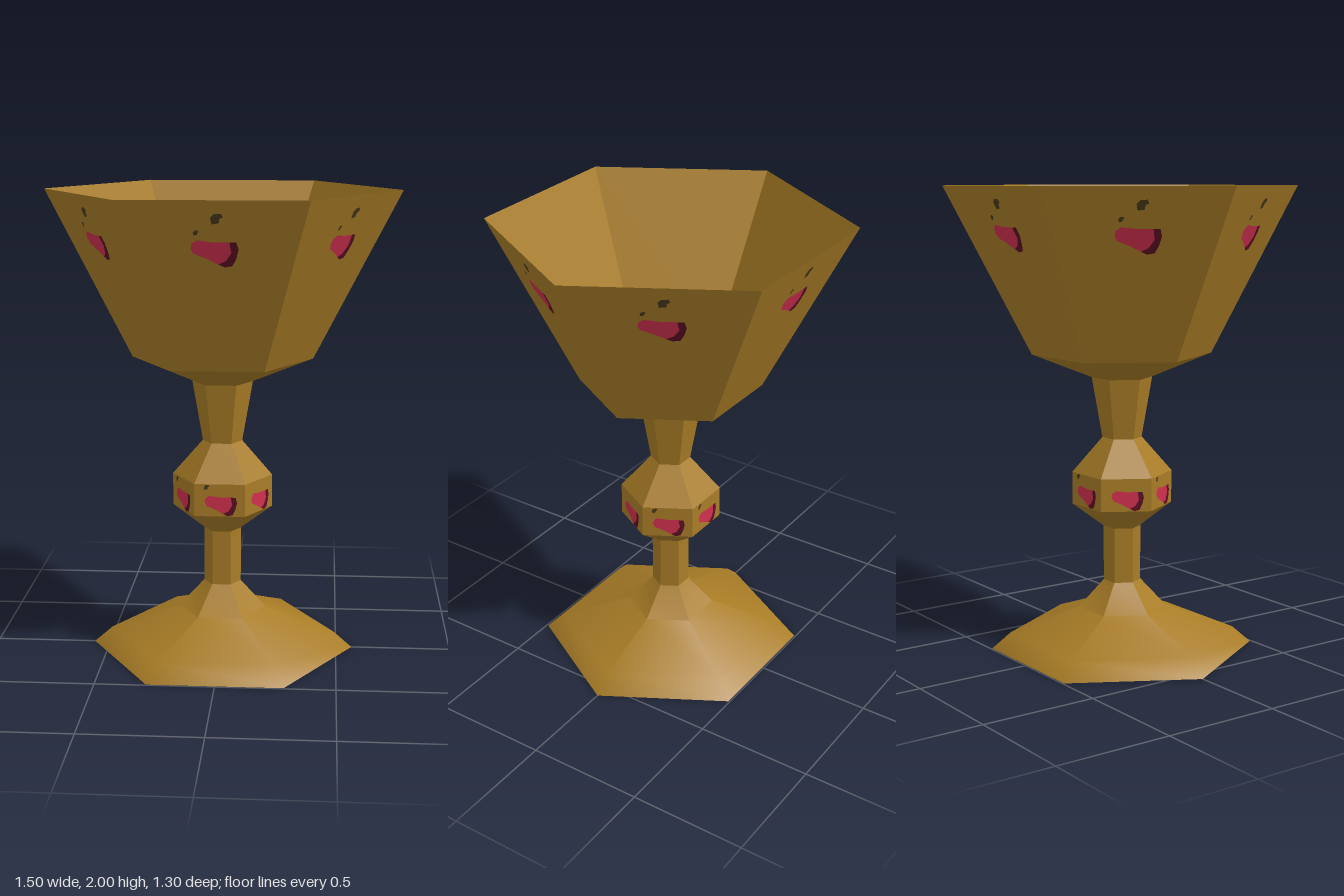
import * as THREE from 'three';
import { toCreasedNormals } from 'three/addons/utils/BufferGeometryUtils.js';

export function createModel() {
  const material = (name, color) => {
    const m = new THREE.MeshStandardMaterial({ color });
    m.name = name;
    return m;
  };
  const gold = material('gold', 0xa87c26);
  const ruby = material('ruby', 0xd0304e);
  const darkRuby = material('darkRuby', 0x5c0f24);
  const tarnish = material('tarnish', 0x4a3a1c);

  const model = new THREE.Group();
  model.name = 'goblet';

  const add = (parent, name, geometry, mat) => {
    const mesh = new THREE.Mesh(geometry, mat);
    mesh.name = name;
    parent.add(mesh);
    return mesh;
  };

  // Six-sided turned part from [corner radius, height] points, with corners on the x axis
  const hexPart = (name, points, creaseDegrees) => {
    const profile = points.map(([r, y]) => new THREE.Vector2(r, y));
    const lathe = new THREE.LatheGeometry(profile, 6, Math.PI / 6);
    add(model, name, toCreasedNormals(lathe, THREE.MathUtils.degToRad(creaseDegrees)), gold);
  };

  hexPart('footUnderside', [[0, 0], [0.57, 0]], 30);
  hexPart('foot', [[0.57, 0], [0.49, 0.07], [0.19, 0.18], [0.08, 0.3]], 42);
  hexPart('lowerStem', [[0.08, 0.3], [0.08, 0.54]], 30);
  hexPart('knobUnderside', [[0.08, 0.54], [0.215, 0.64]], 42);
  hexPart('knob', [[0.215, 0.64], [0.215, 0.78], [0.085, 0.93]], 30);
  hexPart('upperStem', [[0.085, 0.93], [0.13, 1.19]], 30);
  hexPart('bowlUnderside', [[0.13, 1.19], [0.385, 1.29]], 42);
  hexPart('bowlOutside', [[0.385, 1.29], [0.75, 2]], 30);
  hexPart('bowlInside', [[0.75, 2], [0.335, 1.3], [0, 1.3]], 30);

  // Flat outlines of the gem and its shaded end
  const plate = (points) =>
    new THREE.ShapeGeometry(new THREE.Shape(points.map(([x, y]) => new THREE.Vector2(x, y))));
  const gemFace = plate([
    [-0.085, 0.015], [-0.075, -0.008], [-0.025, -0.03], [0.02, -0.055], [0.05, -0.04],
    [0.072, -0.005], [0.065, 0.042], [0, 0.042], [-0.06, 0.05], [-0.08, 0.035],
  ]);
  const gemEnd = plate([
    [0.02, -0.055], [0.045, -0.068], [0.075, -0.062], [0.09, -0.03], [0.1, 0.01],
    [0.092, 0.042], [0.065, 0.042], [0.072, -0.005], [0.05, -0.04],
  ]);
  // Small uneven spot
  const spot = plate([
    [-0.4, -0.5], [0.2, -0.4], [0.25, 0], [0.55, 0.15], [0.4, 0.5], [-0.2, 0.45], [-0.5, 0.1],
  ]);

  const gem = (parent) => {
    add(parent, 'gemFace', gemFace, ruby);
    add(parent, 'gemEnd', gemEnd, darkRuby);
  };
  const mark = (parent, x, y, size) => {
    const m = add(parent, 'tarnishSpot', spot, tarnish);
    m.position.set(x, y, 0);
    m.scale.setScalar(size);
  };

  // The same ornaments on each of the six sides
  const slope = Math.atan2(0.317, 0.71);
  for (let i = 0; i < 6; i++) {
    const side = new THREE.Group();
    side.name = 'sideOrnaments';
    side.rotation.y = (i * Math.PI) / 3;
    model.add(side);

    const bowlGem = new THREE.Group();
    bowlGem.name = 'bowlGem';
    bowlGem.position.set(0, 1.798, 0.564);
    bowlGem.rotation.x = slope;
    gem(bowlGem);
    mark(bowlGem, 0.018, 0.142, 0.046);
    mark(bowlGem, -0.062, 0.082, 0.022);
    side.add(bowlGem);

    const knobGem = new THREE.Group();
    knobGem.name = 'knobGem';
    knobGem.position.set(0, 0.693, 0.189);
    knobGem.scale.setScalar(0.74);
    gem(knobGem);
    if (i % 3 !== 1) mark(knobGem, -0.075, 0.1, 0.03);
    side.add(knobGem);
  }
  return model;
}
